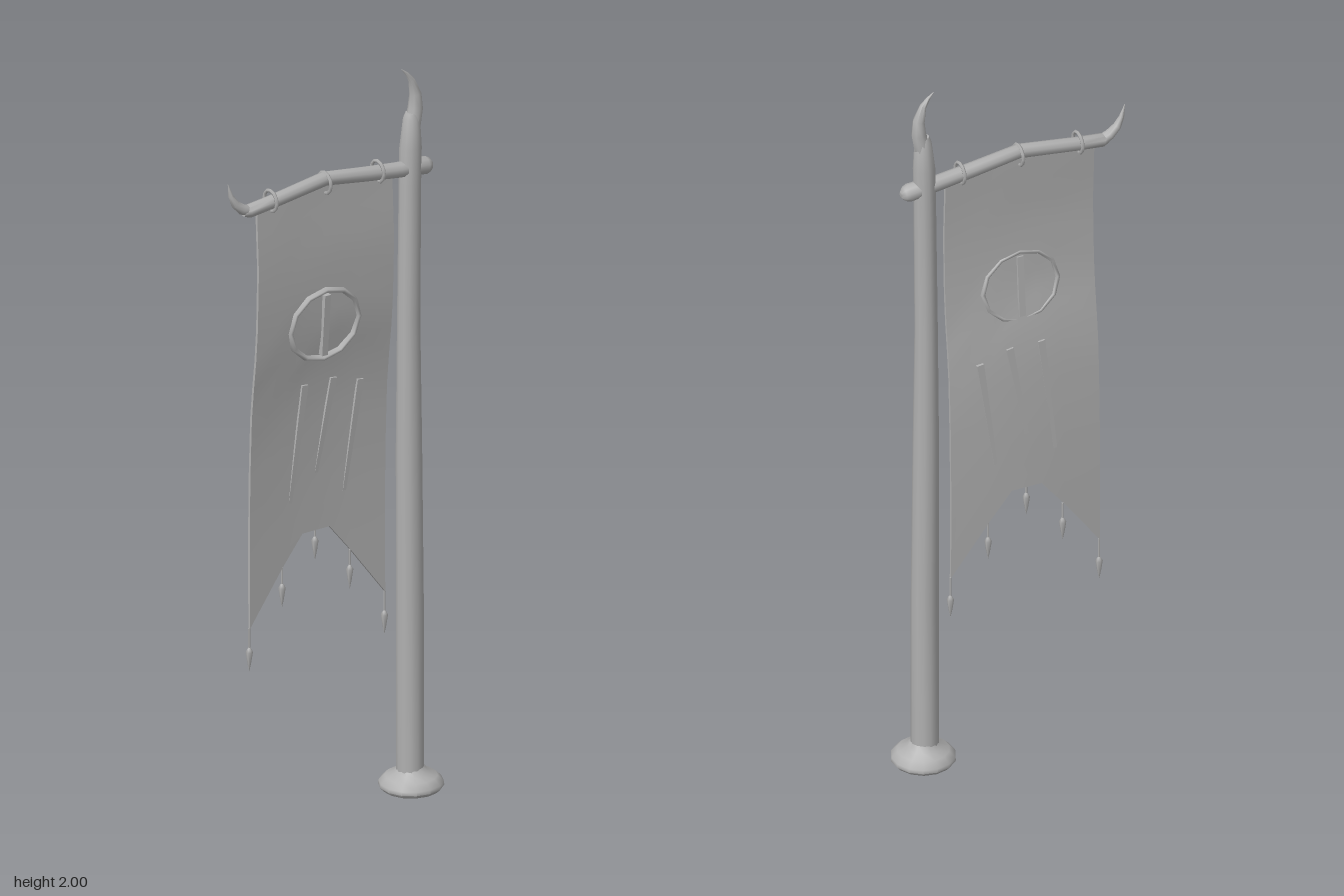
import * as THREE from 'three';
import { toCreasedNormals } from 'three/addons/utils/BufferGeometryUtils.js';

const grey = new THREE.MeshStandardMaterial({ color: 0xb0b0b0 });
grey.name = 'plain grey';
const V = (x, y, z = 0) => new THREE.Vector3(x, y, z);

// Interpolate pairs [x, y] listed in rising x
function lerpTable(t, x) {
  if (x <= t[0][0]) return t[0][1];
  for (let i = 1; i < t.length; i++) {
    if (x <= t[i][0]) {
      const k = (x - t[i - 1][0]) / (t[i][0] - t[i - 1][0]);
      return THREE.MathUtils.lerp(t[i - 1][1], t[i][1], k);
    }
  }
  return t[t.length - 1][1];
}

// Tapered tube: rows of [x, y, radius] in the z = 0 plane, joined by rings with capped ends
function taperedTube(rows, sides = 10) {
  const pos = [], idx = [];
  const n = rows.length;
  rows.forEach(([x, y, r], i) => {
    const a = rows[Math.max(i - 1, 0)], b = rows[Math.min(i + 1, n - 1)];
    const d = V(b[0] - a[0], b[1] - a[1]).normalize();
    for (let s = 0; s < sides; s++) {
      const t = (s / sides) * Math.PI * 2, c = Math.cos(t) * r;
      pos.push(x - d.y * c, y + d.x * c, Math.sin(t) * r);
      if (i < n - 1) {
        const p = i * sides + s, q = i * sides + (s + 1) % sides;
        idx.push(p, q, p + sides, q, q + sides, p + sides);
      }
    }
  });
  [0, n - 1].forEach((row) => {
    const c = pos.length / 3;
    pos.push(rows[row][0], rows[row][1], 0);
    for (let s = 0; s < sides; s++) {
      const p = row * sides + s, q = row * sides + (s + 1) % sides;
      if (row) idx.push(c, p, q); else idx.push(c, q, p);
    }
  });
  const g = new THREE.BufferGeometry();
  g.setAttribute('position', new THREE.Float32BufferAttribute(pos, 3));
  g.setIndex(idx);
  return toCreasedNormals(g, 0.9);
}

// Depth of the hanging cloth
const hang = [[0.5, -0.03], [0.75, -0.032], [0.95, -0.03], [1.15, -0.022], [1.35, 0.002], [1.55, 0.008], [1.72, 0]];
const clothZ = (x, y) => lerpTable(hang, y) - 0.007 * Math.cos((x + 0.03) * 7) * (y < 1.3 ? 1 : 0.3);

export function createModel() {
  const model = new THREE.Group();
  const add = (name, geometry, parent = model) => {
    const m = new THREE.Mesh(geometry, grey);
    m.name = name;
    parent.add(m);
    return m;
  };
  const group = (name) => {
    const g = new THREE.Group();
    g.name = name;
    model.add(g);
    return g;
  };

  // Pole, foot and curved finial
  add('pole', taperedTube([
    [0.238, 0.03, 0.036], [0.238, 0.5, 0.036], [0.235, 0.95, 0.034], [0.234, 1.3, 0.03],
    [0.238, 1.68, 0.029], [0.24, 1.78, 0.029], [0.243, 1.86, 0.022], [0.243, 1.875, 0.016],
  ], 12));
  const foot = [[0, 0], [0.076, 0], [0.085, 0.01], [0.084, 0.02], [0.068, 0.036], [0.045, 0.046], [0.034, 0.062]];
  const footMesh = add('foot', toCreasedNormals(
    new THREE.LatheGeometry(foot.map(([r, y]) => new THREE.Vector2(r, y)), 14), 0.9));
  footMesh.position.x = 0.242;
  add('poleHorn', taperedTube([
    [0.245, 1.84, 0.022], [0.255, 1.885, 0.02], [0.255, 1.925, 0.016],
    [0.243, 1.965, 0.009], [0.228, 1.985, 0.005], [0.213, 2.0, 0.0008],
  ], 8));

  // Crossbar with knob and upturned tip
  add('crossbar', taperedTube([
    [-0.285, 1.727, 0.012], [-0.27, 1.725, 0.018], [-0.2, 1.733, 0.018], [-0.03, 1.757, 0.019],
    [0.1, 1.738, 0.02], [0.2, 1.725, 0.021], [0.285, 1.718, 0.024], [0.297, 1.717, 0.019], [0.306, 1.717, 0.008],
  ], 10));
  add('crossbarHorn', taperedTube([
    [-0.262, 1.724, 0.015], [-0.29, 1.735, 0.014], [-0.312, 1.755, 0.011],
    [-0.325, 1.78, 0.007], [-0.334, 1.815, 0.0008],
  ], 8));

  // Rings tying the cloth to the bar
  const rings = group('rings');
  [[-0.2, 1.737], [-0.03, 1.746], [0.137, 1.737]].forEach(([x, y]) => {
    const ring = add('ring', new THREE.TorusGeometry(0.028, 0.005, 5, 12), rings);
    ring.rotation.y = Math.PI / 2;
    ring.position.set(x, y, 0);
  });

  // Cloth with notched hem
  const hem = [[-0.245, 0.55], [-0.14, 0.69], [-0.075, 0.77], [0.01, 0.77], [0.075, 0.69], [0.18, 0.55]];
  const top = [[-0.245, 1.72], [-0.03, 1.747], [0.18, 1.72]];
  const cloth = new THREE.BoxGeometry(5, 1, 0.008, 5, 14);
  const p = cloth.attributes.position;
  for (let i = 0; i < p.count; i++) {
    const [x, low] = hem[Math.round(p.getX(i) + 2.5)];
    const y = THREE.MathUtils.lerp(low, lerpTable(top, x), p.getY(i) + 0.5);
    p.setXYZ(i, x, y, p.getZ(i) + clothZ(x, y));
  }
  add('cloth', toCreasedNormals(cloth, 0.7));

  // Round emblem with upright bar, standing out on both faces
  const emblem = group('emblem');
  const outline = new THREE.TorusGeometry(0.105, 0.0075, 6, 12);
  outline.scale(1.02, 0.93, 1.7);
  const bar = new THREE.BoxGeometry(0.018, 0.172, 0.026);
  add('emblemRing', outline, emblem);
  add('emblemBar', bar, emblem);
  emblem.position.set(-0.033, 1.355, clothZ(-0.033, 1.355));
  emblem.rotation.x = 0.08;

  // Three tapering slashes
  const slashes = group('slashes');
  const up = V(0, 1, 0);
  [[-0.08, 1.19, -0.115, 0.865], [0.01, 1.19, -0.033, 0.93], [0.095, 1.165, 0.055, 0.86]].forEach(([x1, y1, x2, y2]) => {
    const a = V(x1, y1, clothZ(x1, y1)), b = V(x2, y2, clothZ(x2, y2));
    const g = new THREE.CylinderGeometry(0.014, 0.007, a.distanceTo(b), 4).rotateY(Math.PI / 4);
    const m = add('slash', toCreasedNormals(g, 0.5), slashes);
    m.position.copy(a).add(b).multiplyScalar(0.5);
    m.quaternion.setFromUnitVectors(up, a.sub(b).normalize());
  });

  // Corded pendants along the hem
  const pendants = group('pendants');
  const bead = [[0.0001, -0.036], [0.005, -0.012], [0.0095, 0.018], [0.005, 0.027], [0.0001, 0.034]];
  [[-0.245, 0.55, 0.43], [-0.138, 0.69, 0.58], [-0.033, 0.77, 0.685], [0.075, 0.69, 0.58], [0.18, 0.55, 0.43]].forEach(([x, y, tip]) => {
    const z = clothZ(x, y), length = y - tip - 0.05;
    const cord = add('cord', new THREE.CylinderGeometry(0.003, 0.003, length, 5), pendants);
    cord.position.set(x, y - length / 2, z);
    const m = add('pendant', new THREE.LatheGeometry(bead.map(([r, h]) => new THREE.Vector2(r, h)), 6), pendants);
    m.position.set(x, tip + 0.036, z);
  });

  return model;
}
